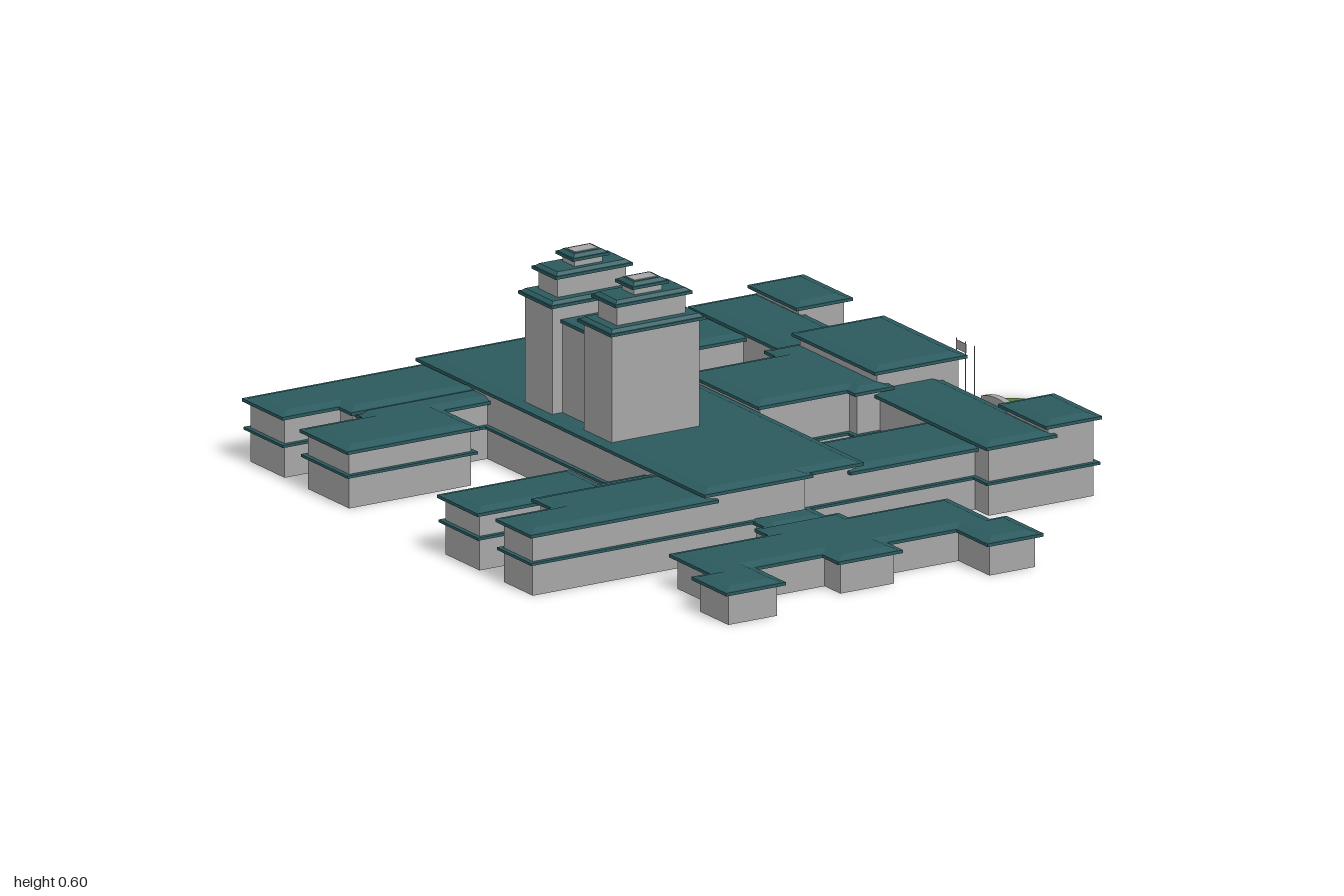
import * as THREE from 'three';

const stone = new THREE.MeshStandardMaterial({ color: 0xa6a6a6, side: THREE.DoubleSide });
const roofTeal = new THREE.MeshStandardMaterial({ color: 0x2b5a5e });
const grass = new THREE.MeshStandardMaterial({ color: 0x597c39, side: THREE.DoubleSide });
stone.name = 'stone';
roofTeal.name = 'roofTeal';
grass.name = 'grass';

const rect = (x0, z0, x1, z1) => [[x0, z0], [x1, z0], [x1, z1], [x0, z1]];

// Plan outline (x, z) as counter-clockwise shape points (x, -z)
function plan(points) {
  const p = points.map(([x, z]) => new THREE.Vector2(x, -z));
  return THREE.ShapeUtils.area(p) < 0 ? p.reverse() : p;
}

// Shrinks a right-angled outline by d on every side (negative d grows it)
function inset(p, d) {
  return p.map((b, i) => {
    const a = p[(i + p.length - 1) % p.length], c = p[(i + 1) % p.length];
    const u = b.clone().sub(a).normalize(), v = c.clone().sub(b).normalize();
    return new THREE.Vector2(b.x - d * (u.y + v.y), b.y + d * (u.x + v.x));
  });
}

// Flat slab with optional holes; its first group is the underside
function slabGeometry(p, y0, y1, holes = []) {
  const shape = new THREE.Shape(p);
  shape.holes = holes.map((h) => new THREE.Path(h));
  const geo = new THREE.ExtrudeGeometry(shape, { depth: y1 - y0, bevelEnabled: false });
  const half = geo.groups[0].count / 2, total = geo.attributes.position.count;
  geo.clearGroups();
  geo.addGroup(0, half, 0);
  geo.addGroup(half, total - half, 1);
  return geo.rotateX(-Math.PI / 2).translate(0, y0, 0);
}

// Band of flat faces joining one outline to another above it
function bandGeometry(lower, upper, y0, y1) {
  const pos = [];
  lower.forEach((a, i) => {
    const j = (i + 1) % lower.length;
    const b = lower[j], c = upper[j], d = upper[i];
    pos.push(a.x, y0, -a.y, b.x, y0, -b.y, c.x, y1, -c.y);
    pos.push(a.x, y0, -a.y, c.x, y1, -c.y, d.x, y1, -d.y);
  });
  const geo = new THREE.BufferGeometry();
  geo.setAttribute('position', new THREE.Float32BufferAttribute(pos, 3));
  geo.computeVertexNormals();
  return geo;
}

function add(parent, name, geometry, material, x = 0, y = 0, z = 0) {
  const mesh = new THREE.Mesh(geometry, material);
  mesh.name = name;
  mesh.position.set(x, y, z);
  parent.add(mesh);
}

// Teal eaves with stone soffit, sloping border and flat top
function roof(parent, p, y0, y1, slope) {
  const mid = y0 + (y1 - y0) * 0.5;
  const top = inset(p, slope);
  add(parent, 'eaves', slabGeometry(p, y0, mid), [stone, roofTeal]);
  add(parent, 'roofSlope', bandGeometry(inset(p, slope * 0.3), top, mid, y1), roofTeal);
  add(parent, 'roofTop', new THREE.ShapeGeometry(new THREE.Shape(top)).rotateX(-Math.PI / 2), roofTeal, 0, y1);
}

// One building block: walls and roof
function block(parent, name, outline, base, top) {
  const g = new THREE.Group();
  g.name = name;
  parent.add(g);
  const p = plan(outline), w = inset(p, 0.016);
  add(g, 'walls', bandGeometry(w, w, base, top - 0.017), stone);
  roof(g, p, top - 0.017, top, 0.03);
}

// Ground storey: outer and courtyard walls, each with a ledge along its top
function groundStorey(parent) {
  const g = new THREE.Group();
  g.name = 'groundStorey';
  parent.add(g);
  const outer = plan([[-1, -0.935], [0.7, -0.935], [0.7, -0.7], [0.57, -0.7], [0.57, -0.44], [0.63, -0.44],
    [0.63, -0.04], [0.575, -0.04], [0.575, 0.265], [0.7, 0.265], [0.7, 0.495], [0.35, 0.495], [0.35, 0.432],
    [-0.145, 0.432], [-0.145, 0.45], [-1, 0.45], [-1, 0.28], [-0.83, 0.28], [-0.83, 0.195], [-1, 0.195], [-1, 0],
    [-0.6, 0], [-0.6, 0.14], [-0.475, 0.14], [-0.475, -0.6], [-0.6, -0.6], [-0.6, -0.43], [-1, -0.43],
    [-1, -0.66], [-0.83, -0.66], [-0.83, -0.74], [-1, -0.74]]);
  const courts = [
    [[0.02, -0.68], [0.35, -0.68], [0.35, -0.46], [0.28, -0.46], [0.28, -0.405], [0.02, -0.405]],
    [[0.02, -0.06], [0.28, -0.06], [0.28, -0.025], [0.35, -0.025], [0.35, 0.175], [0.02, 0.175]],
  ].map(plan);
  const storey = (wall, ledgeOuter, ledgeInner) => {
    add(g, 'walls', bandGeometry(wall, wall, 0, 0.092), stone);
    add(g, 'ledge', slabGeometry(ledgeOuter, 0.085, 0.092, [ledgeInner]), [stone, roofTeal]);
  };
  storey(inset(outer, 0.016), inset(outer, 0.003), inset(outer, 0.0155));
  for (const c of courts) storey(inset(c, -0.016), inset(c, -0.0155), inset(c, -0.003));
}

// Tower of three shrinking tiers
function tower(parent, z) {
  const g = new THREE.Group();
  g.name = 'tower';
  parent.add(g);
  const cx = -0.317;
  const tiers = [[0.145, 0.08, 0.18, 0.5], [0.117, 0.058, 0.495, 0.568], [0.055, 0.042, 0.563, 0.602]];
  for (const [hx, hz, y0, y1] of tiers) {
    const p = plan(rect(cx - hx, z - hz, cx + hx, z + hz));
    const w = inset(p, 0.013);
    add(g, 'tierWalls', bandGeometry(w, w, y0, y1 - 0.016), stone);
    roof(g, p, y1 - 0.016, y1, 0.014);
  }
  add(g, 'roofHatch', new THREE.BoxGeometry(0.07, 0.006, 0.04), stone, cx, 0.601, z);
}

export function createModel() {
  const model = new THREE.Group();
  model.name = 'buildingComplex';
  groundStorey(model);

  // Upper storey: outer wings, with inner wings set slightly lower
  const up = 0.092;
  block(model, 'backOuterWing', [[-1, -0.935], [-0.43, -0.935], [-0.43, -0.68], [-0.83, -0.68],
    [-0.83, -0.74], [-1, -0.74]], up, 0.177);
  block(model, 'backInnerWing', [[-0.81, -0.74], [-0.43, -0.74], [-0.43, -0.6], [-0.6, -0.6],
    [-0.6, -0.43], [-1, -0.43], [-1, -0.66], [-0.81, -0.66]], up, 0.167);
  block(model, 'frontOuterWing', [[-1, 0.45], [-0.43, 0.45], [-0.43, 0.185], [-0.83, 0.185],
    [-0.83, 0.28], [-1, 0.28]], up, 0.177);
  block(model, 'frontInnerWing', [[-0.81, 0.24], [-0.43, 0.24], [-0.43, 0.14], [-0.6, 0.14],
    [-0.6, 0], [-1, 0], [-1, 0.195], [-0.81, 0.195]], up, 0.167);

  // Main hall, cross wings round two courtyards, and entrance side
  block(model, 'mainHall', [[-0.475, -0.935], [0.02, -0.935], [0.02, 0.432], [-0.145, 0.432],
    [-0.145, 0.45], [-0.475, 0.45]], up, 0.197);
  block(model, 'backCrossWing', rect(-0.02, -0.935, 0.39, -0.68), up, 0.177);
  block(model, 'frontCrossWing', rect(-0.02, 0.175, 0.39, 0.432), up, 0.177);
  block(model, 'middleCrossWing', [[0.01, -0.405], [0.28, -0.405], [0.28, -0.46], [0.4, -0.46],
    [0.4, -0.025], [0.28, -0.025], [0.28, -0.06], [0.01, -0.06]], up, 0.216);
  block(model, 'entranceWing', rect(0.35, -0.935, 0.565, 0.495), up, 0.197);
  block(model, 'entranceHall', rect(0.35, -0.44, 0.63, -0.04), up, 0.257);
  block(model, 'backPavilion', rect(0.53, -0.935, 0.7, -0.7), up, 0.224);
  block(model, 'frontPavilion', rect(0.53, 0.265, 0.7, 0.495), up, 0.224);

  // Low annex and its connecting passage
  block(model, 'annex', [[-0.655, 0.565], [-0.355, 0.565], [-0.355, 0.5], [-0.1, 0.5], [-0.1, 0.545], [0.2, 0.545],
    [0.2, 0.75], [0.25, 0.75], [0.25, 0.928], [0.08, 0.928], [0.08, 0.78], [-0.13, 0.78], [-0.13, 0.855],
    [-0.325, 0.855], [-0.325, 0.78], [-0.53, 0.78], [-0.53, 0.928], [-0.71, 0.928], [-0.71, 0.76], [-0.655, 0.76]],
  0, 0.1);
  block(model, 'passage', rect(-0.325, 0.42, -0.14, 0.53), 0, 0.1);

  // Twin towers and the link between them
  tower(model, -0.385);
  tower(model, -0.1);
  const link = plan(rect(-0.42, -0.318, -0.21, -0.167));
  add(model, 'towerLink', bandGeometry(link, link, 0.18, 0.438), stone);
  add(model, 'towerLinkRoof', slabGeometry(inset(link, -0.005), 0.438, 0.447), [stone, roofTeal]);

  // Entrance canopy on columns
  add(model, 'canopy', new THREE.BoxGeometry(0.085, 0.01, 0.295), stone, 0.6575, 0.075, -0.243);
  add(model, 'canopyTrim', new THREE.BoxGeometry(0.008, 0.006, 0.295), roofTeal, 0.665, 0.083, -0.243);
  for (let i = 0; i < 6; i++) {
    add(model, 'canopyColumn', new THREE.CylinderGeometry(0.005, 0.005, 0.07, 8), stone, 0.688, 0.035, -0.378 + i * 0.054);
  }

  // Flagpoles and flag
  for (const z of [-0.285, -0.243, -0.2]) {
    add(model, 'flagpole', new THREE.CylinderGeometry(0.0012, 0.0012, 0.21, 6), stone, 0.752, 0.105, z);
  }
  add(model, 'flag', new THREE.BoxGeometry(0.002, 0.024, 0.045), stone, 0.752, 0.193, -0.262);

  // Round lawn with a low monument
  add(model, 'lawn', new THREE.CircleGeometry(0.123, 40).rotateX(-Math.PI / 2), grass, 0.877, 0.001, -0.24);
  const slab = new THREE.Shape();
  slab.moveTo(-0.077, 0);
  slab.lineTo(0.077, 0);
  slab.lineTo(0.077, 0.03);
  slab.quadraticCurveTo(0, 0.056, -0.077, 0.03);
  const monument = new THREE.ExtrudeGeometry(slab, { depth: 0.02, bevelEnabled: false, curveSegments: 10 });
  add(model, 'monument', monument.rotateY(Math.PI / 2), stone, 0.846, 0, -0.24);

  return model;
}
